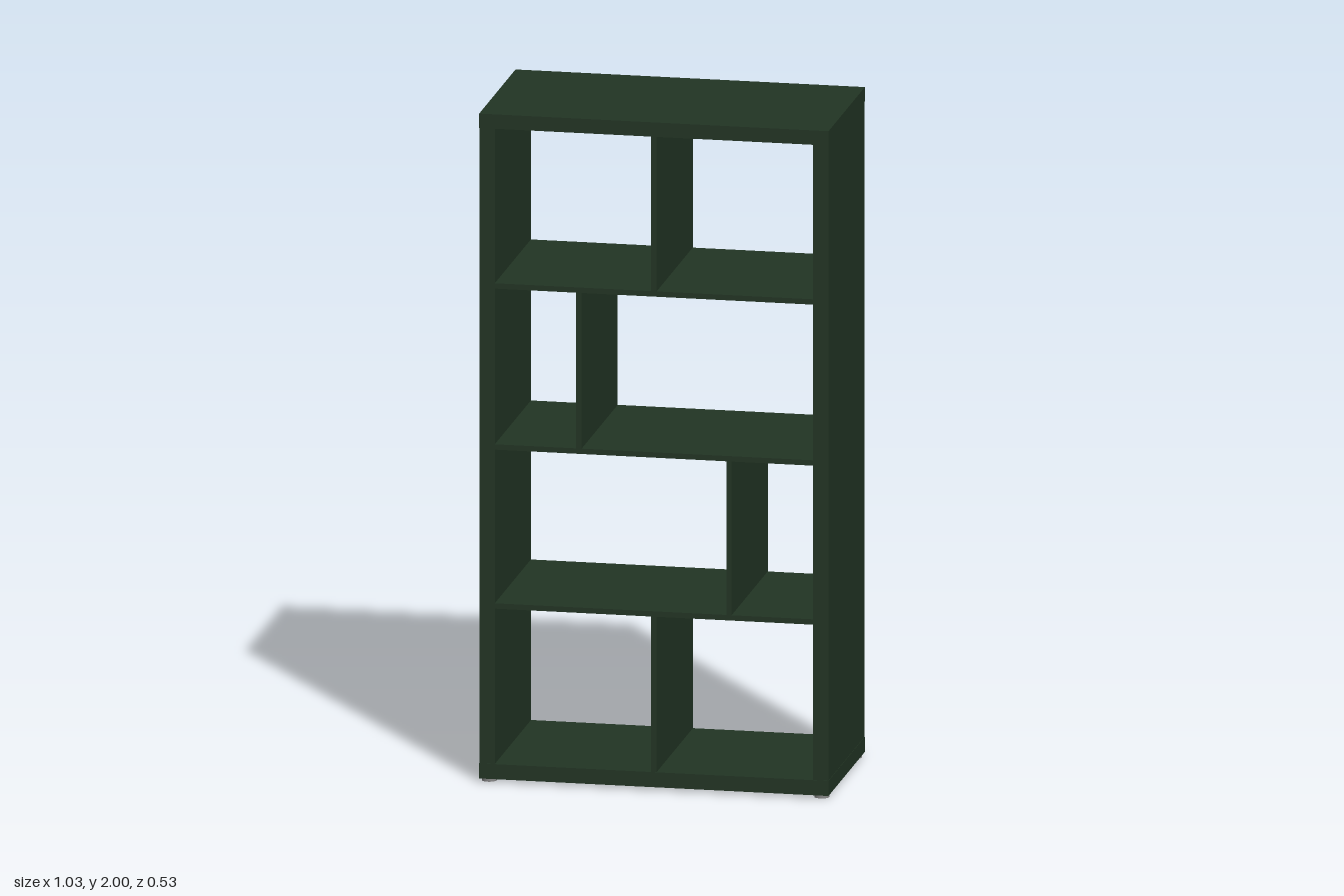
import * as THREE from 'three';

export function createModel() {
  const green = new THREE.MeshStandardMaterial({ color: 0x223524 });
  green.name = 'darkGreen';
  const grey = new THREE.MeshStandardMaterial({ color: 0x858585 });
  grey.name = 'grey';

  const shelfUnit = new THREE.Group();
  shelfUnit.name = 'shelfUnit';

  // Adds a box given by its limits on each axis
  function board(name, [x0, x1], [y0, y1], [z0, z1], material = green) {
    const mesh = new THREE.Mesh(new THREE.BoxGeometry(x1 - x0, y1 - y0, z1 - z0), material);
    mesh.position.set((x0 + x1) / 2, (y0 + y1) / 2, (z0 + z1) / 2);
    mesh.name = name;
    shelfUnit.add(mesh);
  }

  const W = 0.517, INNER = 0.471, BASE = 0.01, FLOOR = 0.055, CEILING = 1.957;
  const depth = [-0.262, 0.266];
  const innerDepth = [-0.26, 0.264];
  const half = 0.008; // half the thickness of shelves and dividers

  // Outer frame
  board('bottomPanel', [-W, W], [BASE, FLOOR], depth);
  board('topPanel', [-W, W], [CEILING, 2], depth);
  board('leftSide', [INNER, W - 0.001], [FLOOR, CEILING], innerDepth);
  board('rightSide', [-W + 0.001, -INNER], [FLOOR, CEILING], innerDepth);

  // Shelves
  const shelves = [0.528, 1.004, 1.486];
  for (const y of shelves) board('shelf', [-INNER, INNER], [y - half, y + half], innerDepth);

  // One divider in each row
  const levels = [FLOOR - half, ...shelves, CEILING + half];
  [0, 0.222, -0.222, 0].forEach((x, i) =>
    board('divider', [x - half, x + half], [levels[i] + half, levels[i + 1] - half], innerDepth));

  for (const s of [-1, 1]) {
    // Wall brackets at the back, with a grey face plate
    const span = (a, b) => (s > 0 ? [a, b] : [-b, -a]);
    board('wallBracket', span(0.409, INNER), [1.864, 1.93], [-0.266, -0.254]);
    board('bracketPlate', span(0.416, 0.464), [1.871, 1.923], [-0.269, -0.266], grey);

    // Round feet under the corners
    for (const z of [-0.235, 0.239]) {
      const foot = new THREE.Mesh(new THREE.CylinderGeometry(0.022, 0.022, BASE, 24), grey);
      foot.position.set(s * 0.492, BASE / 2, z);
      foot.name = 'foot';
      shelfUnit.add(foot);
    }
  }
  return shelfUnit;
}
